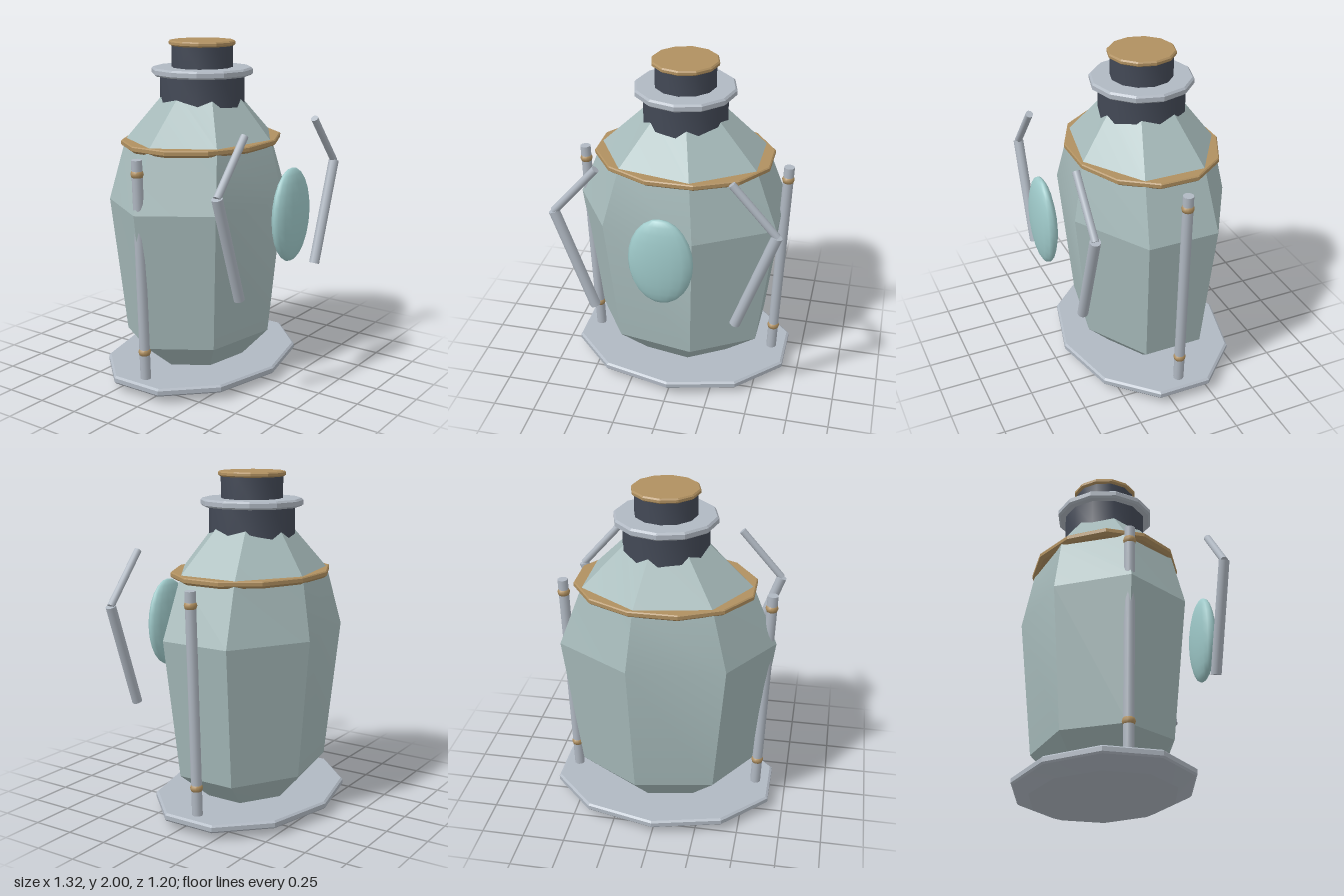
import * as THREE from 'three';
import { toCreasedNormals } from 'three/addons/utils/BufferGeometryUtils.js';

const CZ = -0.083; // depth of the vessel's axis
const mat = (color) => new THREE.MeshStandardMaterial({ color });
const MATS = {
  shell: mat(0xa6baba), metal: mat(0xb0b8c2), dark: mat(0x434956),
  gold: mat(0xb09060), gem: mat(0x9fcaca),
};

// Closed faceted loft: rings are [y, rx, rz], a vertex starts at angle phase from +z
function loft(rings, sides, phase = 0, crease = 0.3) {
  const [first, last] = [rings[0], rings[rings.length - 1]];
  const all = [[first[0], 0, 0], ...rings, [last[0], 0, 0]];
  const geo = new THREE.LatheGeometry(
    all.map(([y, rx]) => new THREE.Vector2(rx, y)), sides, phase);
  const pos = geo.attributes.position;
  for (let i = 0; i < pos.count; i++) {
    const [, rx, rz] = all[i % all.length];
    if (rx > 0) pos.setZ(i, pos.getZ(i) * rz / rx);
  }
  return toCreasedNormals(geo, crease);
}

// Round bar between two points
function rod(a, b, radius, name) {
  const dir = b.clone().sub(a);
  const mesh = new THREE.Mesh(new THREE.CylinderGeometry(radius, radius, dir.length(), 12), MATS.metal);
  mesh.position.copy(a).add(b).multiplyScalar(0.5);
  mesh.quaternion.setFromUnitVectors(new THREE.Vector3(0, 1, 0), dir.normalize());
  mesh.name = name;
  return mesh;
}

export function createModel() {
  const model = new THREE.Group();
  model.name = 'vessel';
  const add = (name, geo, material, z = CZ) => {
    const mesh = new THREE.Mesh(geo, material);
    mesh.name = name;
    mesh.position.z = z;
    model.add(mesh);
    return mesh;
  };
  const round = (rings) => rings.map(([y, r]) => [y, r, r]);

  // Ten-sided foot plate with a bevelled underside
  add('basePlate', loft([
    [0, 0.54, 0.42], [0.045, 0.685, 0.51], [0.055, 0.694, 0.52],
    [0.08, 0.694, 0.52], [0.09, 0.68, 0.508],
  ], 10), MATS.metal);

  // Seven-sided body, pointed towards -x
  add('body', loft([
    [0.085, 0.32, 0.25], [0.26, 0.54, 0.41], [1.08, 0.65, 0.49],
    [1.43, 0.507, 0.42], [1.7, 0.225, 0.215],
  ], 7, -Math.PI / 2), MATS.shell);

  // Shoulder band
  add('shoulderBand', loft([
    [1.395, 0.515, 0.42], [1.41, 0.535, 0.44], [1.43, 0.535, 0.44], [1.436, 0.528, 0.434],
  ], 12, Math.PI / 12), MATS.gold);

  // Neck, collar and stopper
  add('neck', loft(round([[1.62, 0.25], [1.81, 0.25]]), 12, 0, 0.6), MATS.dark);
  add('collar', loft(round([
    [1.8, 0.285], [1.81, 0.298], [1.835, 0.298], [1.846, 0.287],
  ]), 12), MATS.metal);
  add('upperNeck', loft(round([[1.83, 0.18], [1.98, 0.18]]), 12, 0, 0.6), MATS.dark);
  add('cap', loft(round([
    [1.97, 0.185], [1.978, 0.196], [1.992, 0.196], [2, 0.188],
  ]), 12), MATS.gold);

  // Oval front gem
  const gem = add('frontGem', new THREE.SphereGeometry(1, 16, 12), MATS.gem, 0.538);
  gem.position.y = 1.045;
  gem.scale.set(0.186, 0.273, 0.06);

  // Side poles with rings, and bent arms, mirrored
  for (const s of [1, -1]) {
    const side = s > 0 ? 'left' : 'right';
    const v = (x, y, z) => new THREE.Vector3(s * x, y, z);

    const foot = v(0.568, 0.09, CZ), top = v(0.615, 1.39, CZ);
    const pole = rod(foot, top, 0.031, side + 'Pole');
    model.add(pole);
    for (const y of [0.255, 1.31]) {
      const ring = add(side + 'PoleRing', new THREE.TorusGeometry(0.018, 0.019, 8, 14), MATS.gold);
      ring.position.lerpVectors(foot, top, (y - foot.y) / (top.y - foot.y));
      ring.rotation.x = Math.PI / 2;
      ring.scale.z = 1.3;
    }

    const elbow = v(0.63, 1.25, 0.465);
    model.add(rod(v(0.375, 1.542, 0.465), elbow, 0.022, side + 'UpperArm'));
    model.add(rod(elbow, v(0.415, 0.637, 0.465), 0.031, side + 'LowerArm'));
  }
  return model;
}
